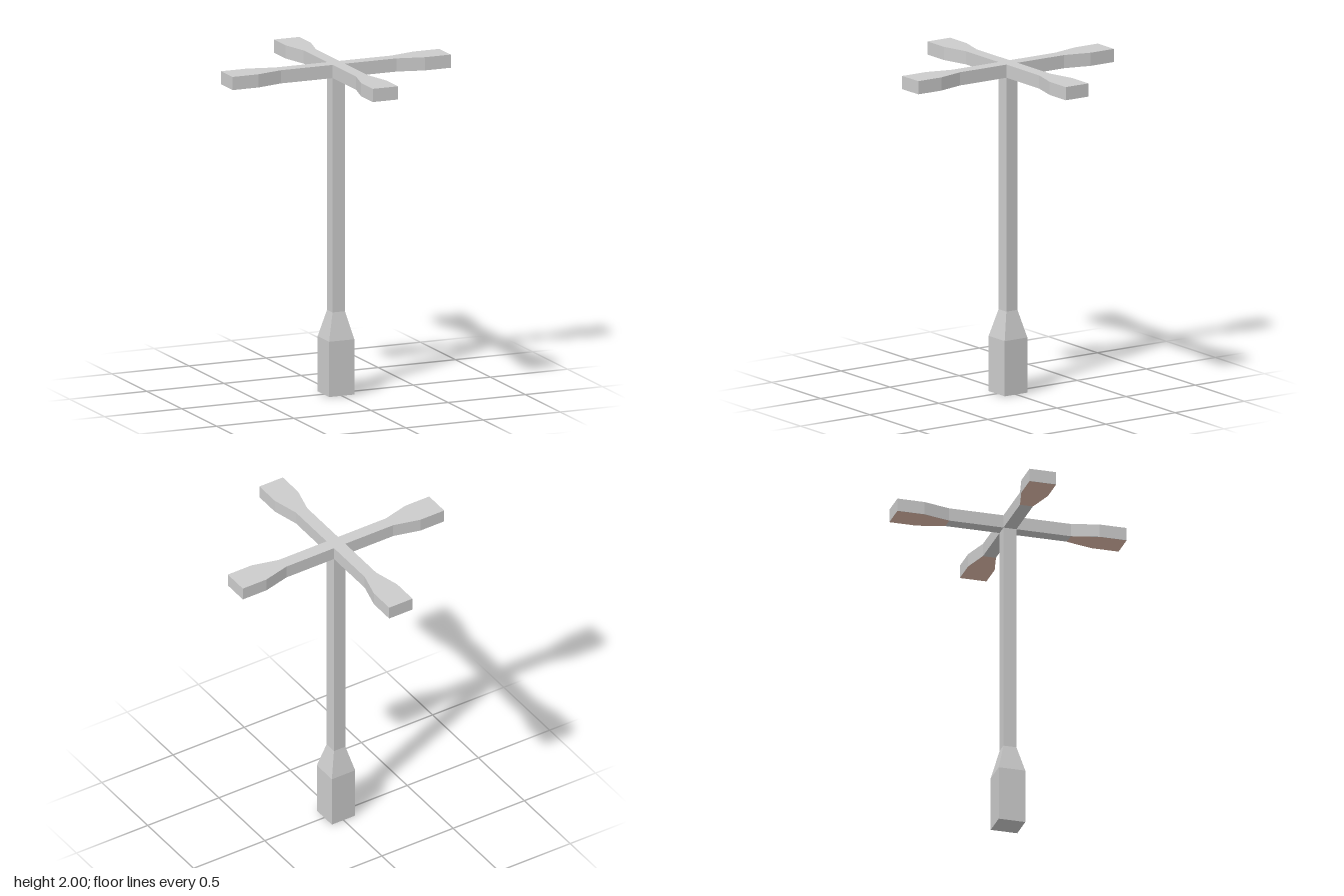
import * as THREE from 'three';

const NARROW = 0.04, WIDE = 0.082; // half widths
const TAPER_IN = 0.375, TAPER_OUT = 0.54, TIP = 0.707;
const TOP = 2, ARM_BOTTOM = 1.92;

export function createModel() {
  const model = new THREE.Group();
  const grey = new THREE.MeshStandardMaterial({ color: 0xcccccc, flatShading: true });
  const warm = new THREE.MeshStandardMaterial({ color: 0xdfbaa8, flatShading: true });

  const add = (name, geometry, material) => {
    const mesh = new THREE.Mesh(geometry, material);
    mesh.name = name;
    model.add(mesh);
    return mesh;
  };

  // Square post flaring into a wider foot
  const profile = [[0, 0], [WIDE, 0], [WIDE, 0.335], [NARROW, 0.5], [NARROW, ARM_BOTTOM]]
    .map(([half, y]) => new THREE.Vector2(half * Math.SQRT2, y));
  add('post', new THREE.LatheGeometry(profile, 4, Math.PI / 4), grey);

  // Four paddle-shaped arms as one solid cross
  const armOutline = [
    [NARROW, -NARROW], [TAPER_IN, -NARROW], [TAPER_OUT, -WIDE], [TIP, -WIDE],
    [TIP, WIDE], [TAPER_OUT, WIDE], [TAPER_IN, NARROW],
  ].map(([x, y]) => new THREE.Vector2(x, y));
  const origin = new THREE.Vector2();
  const outline = [];
  for (let i = 0; i < 4; i++) {
    for (const p of armOutline) outline.push(p.clone().rotateAround(origin, i * Math.PI / 2));
  }
  const cross = new THREE.ExtrudeGeometry(new THREE.Shape(outline), {
    depth: TOP - ARM_BOTTOM, bevelEnabled: false,
  });
  cross.rotateX(-Math.PI / 2);
  add('crossArms', cross, grey).position.y = ARM_BOTTOM;

  // Lamp panels under the widened arm ends
  const panel = new THREE.ShapeGeometry(new THREE.Shape(armOutline.slice(1)));
  panel.rotateX(Math.PI / 2);
  for (let i = 0; i < 4; i++) {
    const lamp = add('lampPanel' + (i + 1), panel, warm);
    lamp.position.y = ARM_BOTTOM - 0.001;
    lamp.rotation.y = i * Math.PI / 2;
  }

  return model;
}
